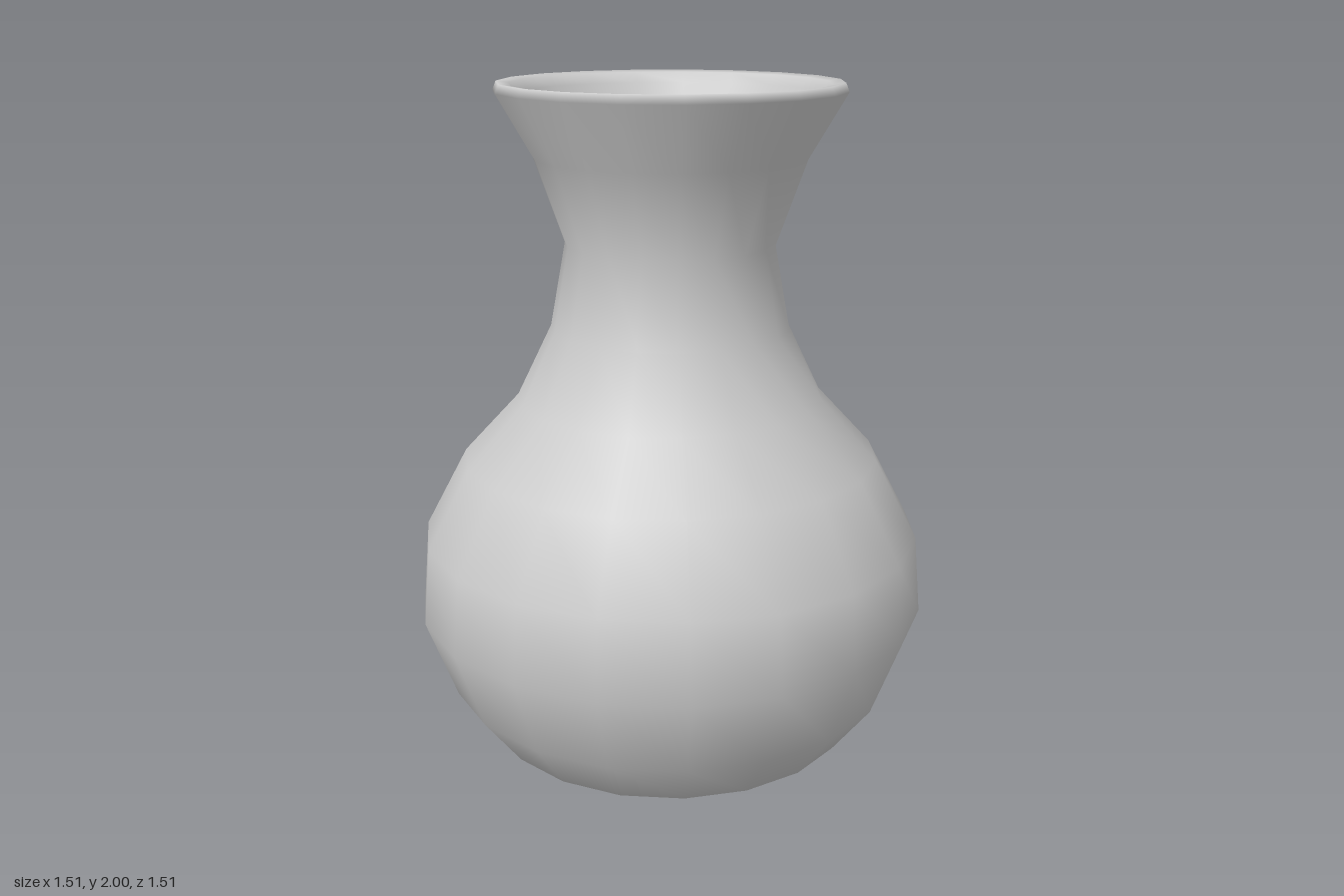
import * as THREE from 'three';

const SIDES = 19;

export function createModel() {
  const group = new THREE.Group();
  group.name = 'vase';
  const material = new THREE.MeshStandardMaterial({ color: 0xcccccc });

  // Wall profile: up the outside, over the rounded rim, down the inside
  const profile = [
    [0.41, 0], [0.555, 0.06], [0.67, 0.21], [0.76, 0.45], [0.74, 0.68],
    [0.615, 0.915], [0.452, 1.09], [0.35, 1.3], [0.305, 1.545], [0.392, 1.79],
    [0.5, 1.975], [0.49, 2], [0.455, 1.995], [0.44, 1.965],
    [0.355, 1.79], [0.27, 1.545], [0.315, 1.29], [0.42, 1.07], [0.58, 0.89],
    [0.7, 0.67], [0.72, 0.45], [0.635, 0.23], [0.53, 0.1], [0.4, 0.05], [0, 0.05],
  ].map(([r, y]) => new THREE.Vector2(r, y));
  const wall = new THREE.Mesh(new THREE.LatheGeometry(profile, SIDES, -Math.PI / 2), material);
  wall.name = 'vaseWall';
  group.add(wall);

  // Flat underside, with its corners on the wall's lower edge
  const baseGeometry = new THREE.CircleGeometry(profile[0].x, SIDES, Math.PI);
  baseGeometry.rotateX(Math.PI / 2);
  const base = new THREE.Mesh(baseGeometry, material);
  base.name = 'base';
  group.add(base);

  // Odd side count: nudge so the bounds centre on x = 0
  for (const part of group.children) part.position.x = 0.004;
  return group;
}
